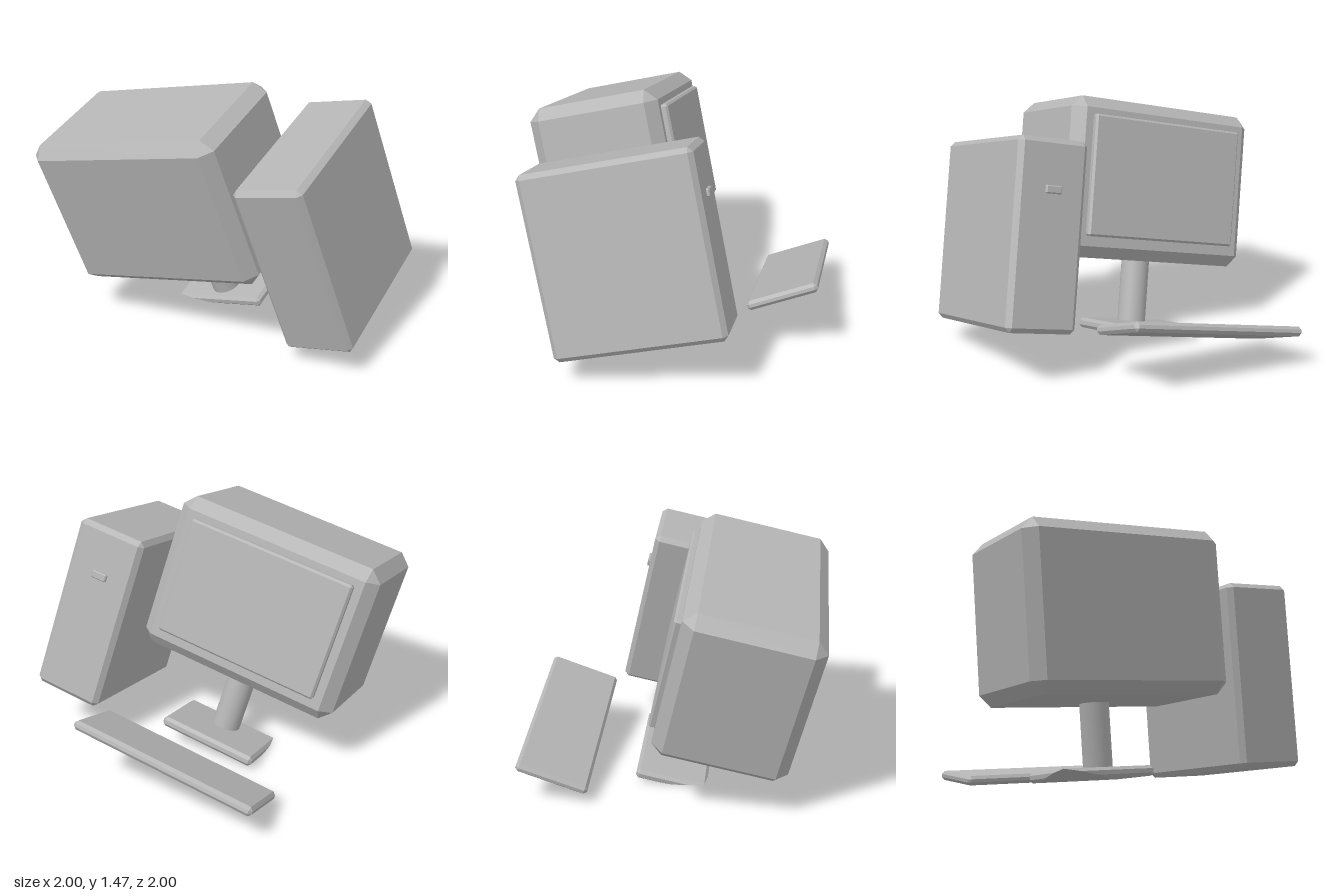
import * as THREE from 'three';
import { ConvexGeometry } from 'three/addons/geometries/ConvexGeometry.js';

// Axes of the tilted desk set: width, height and depth (the screen faces -depth)
const across = new THREE.Vector3(0.929, 0.211, -0.304).normalize();
const up = new THREE.Vector3(-0.121, 0.949, 0.287);
up.addScaledVector(across, -up.dot(across)).normalize();
const depth = new THREE.Vector3().crossVectors(across, up);

// The 24 corners of a box with every edge chamfered by c
function chamferedPoints(w, h, d, c) {
  const points = [];
  for (const sx of [-1, 1]) for (const sy of [-1, 1]) for (const sz of [-1, 1]) {
    const x = sx * w / 2, y = sy * h / 2, z = sz * d / 2;
    points.push(
      new THREE.Vector3(x, y - sy * c, z - sz * c),
      new THREE.Vector3(x - sx * c, y, z - sz * c),
      new THREE.Vector3(x - sx * c, y - sy * c, z));
  }
  return points;
}

// Trims a convex point set at the ground plane, adding the points of the cut
function trimAtGround(points, height) {
  const above = points.filter((p) => height(p) >= 0);
  const below = points.filter((p) => height(p) < 0);
  const cut = [];
  for (const a of above) for (const b of below) {
    const t = height(a) / (height(a) - height(b));
    cut.push(a.clone().lerp(b, t));
  }
  return [...above, ...cut];
}

export function createModel() {
  const grey = new THREE.MeshStandardMaterial({ color: 0xb4b4b4 });
  grey.name = 'plain grey';

  const model = new THREE.Group();
  model.name = 'desktopComputer';
  const set = new THREE.Group();
  set.name = 'tiltedDeskSet';
  set.quaternion.setFromRotationMatrix(new THREE.Matrix4().makeBasis(across, up, depth));
  model.add(set);

  function add(name, geometry, x, y, z) {
    const mesh = new THREE.Mesh(geometry, grey);
    mesh.name = name;
    mesh.position.set(x, y, z);
    set.add(mesh);
    return mesh;
  }

  // Chamfered box given by its limits on each axis
  function block(name, [x0, x1], [y0, y1], [z0, z1], c) {
    const geometry = new ConvexGeometry(chamferedPoints(x1 - x0, y1 - y0, z1 - z0, c));
    return add(name, geometry, (x0 + x1) / 2, (y0 + y1) / 2, (z0 + z1) / 2);
  }

  // Monitor with raised screen
  block('monitorBody', [-0.756, 0.478], [0.475, 1.405], [-0.292, 0.464], 0.067);
  block('screen', [-0.64, 0.365], [0.6, 1.3], [-0.33, -0.27], 0.012);

  // Stand: round stem on a base cut level with the ground
  add('stem', new THREE.CylinderGeometry(0.084, 0.084, 0.42, 32), -0.135, 0.29, -0.04);
  const centre = new THREE.Vector3(-0.134, 0.08, -0.118);
  const height = (p) => (p.x + centre.x) * across.y + (p.y + centre.y) * up.y + (p.z + centre.z) * depth.y;
  const basePoints = trimAtGround(chamferedPoints(0.594, 0.06, 0.414, 0.018), height);
  add('standBase', new ConvexGeometry(basePoints), centre.x, centre.y, centre.z);

  // Tower case with its power button
  block('towerCase', [0.515, 0.935], [0.055, 1.11], [-0.535, 0.446], 0.028);
  block('powerButton', [0.672, 0.768], [0.81, 0.855], [-0.552, -0.52], 0.006);

  // Keyboard, sloping gently
  const keyboard = add('keyboard', new ConvexGeometry(chamferedPoints(1.11, 0.055, 0.42, 0.018)), -0.135, 0.118, -0.78);
  keyboard.rotation.x = 0.14;

  return model;
}
